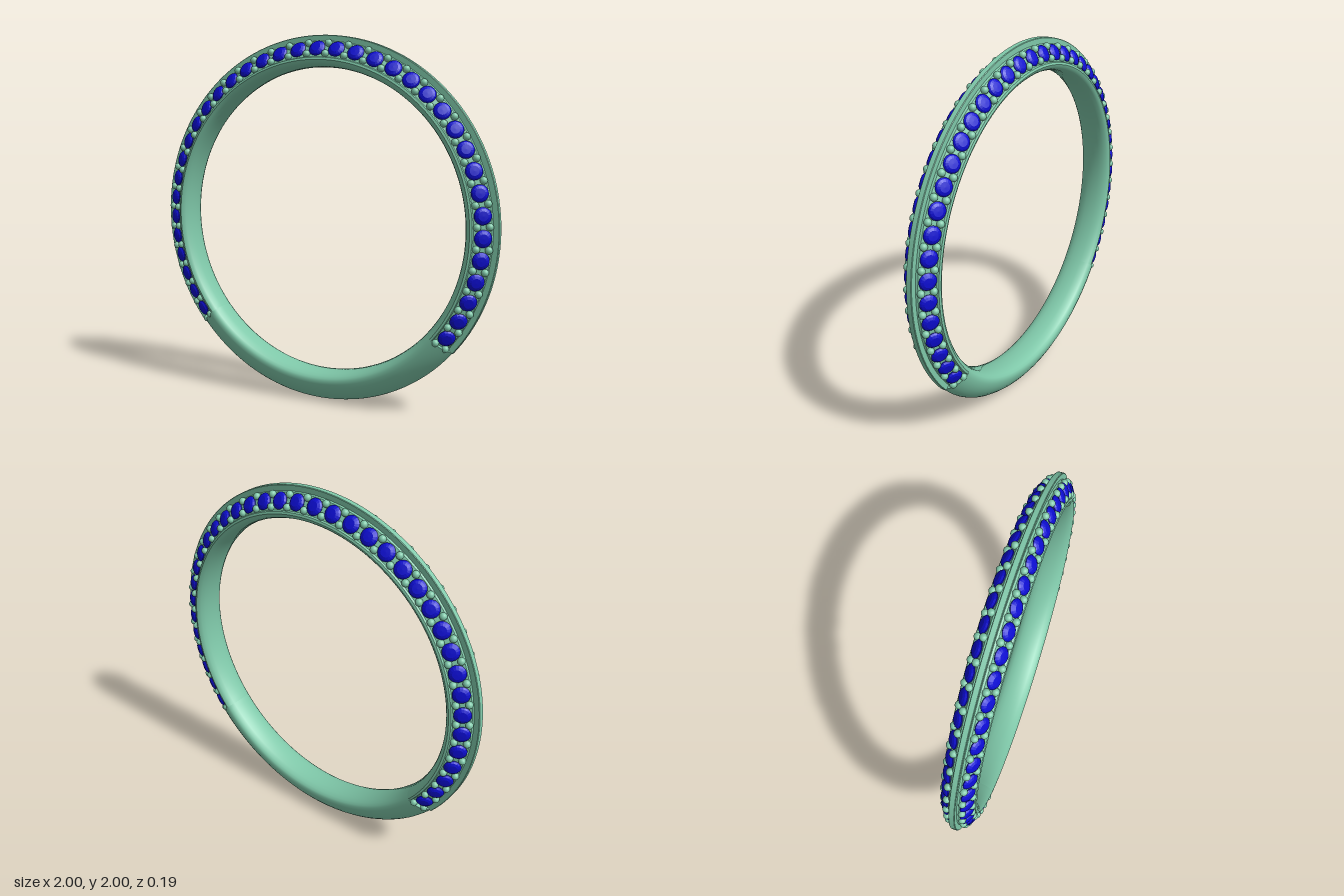
import * as THREE from 'three';
import { toCreasedNormals } from 'three/addons/utils/BufferGeometryUtils.js';

const metal = new THREE.MeshStandardMaterial({ color: 0x7fc8a9, side: THREE.DoubleSide });
const gem = new THREE.MeshStandardMaterial({ color: 0x0c0cd0, flatShading: true });

const STEP = THREE.MathUtils.degToRad(7.02); // angle between neighbouring stones
const SIDE_STONES = 18;                      // stones on each side of the top one
const PAVE_END = THREE.MathUtils.degToRad(50); // plain shank reaches this far from the bottom

// Half sections as [radius, half width], from the bore to the outer edge
const bore = [[0.83, 0], [0.832, 0.03], [0.837, 0.055], [0.847, 0.076], [0.858, 0.087], [0.87, 0.092]];
const plainHalf = [...bore, [0.89, 0.09], [0.915, 0.082], [0.94, 0.068], [0.962, 0.051], [0.98, 0.031], [0.992, 0.013], [0.996, 0]];
const paveHalf = [...bore, [0.882, 0.088], [0.885, 0.077], [0.965, 0.027], [0.968, 0.016], [0.997, 0.016], [1, 0.013], [1, 0]];

// Closed section, mirrored across the ring's middle plane
function section(half) {
  const low = half.map(([r, a]) => new THREE.Vector2(r, -a));
  const high = half.slice(0, -1).reverse().map(([r, a]) => new THREE.Vector2(r, a));
  return [...low, ...high];
}

// Swept arc of the band; angles run from the bottom of the ring
function arc(name, half, start, length, segments) {
  const geometry = toCreasedNormals(new THREE.LatheGeometry(section(half), segments, start, length), 0.6);
  const mesh = new THREE.Mesh(geometry, metal);
  mesh.name = name;
  return mesh;
}

export function createModel() {
  const ring = new THREE.Group();
  ring.name = 'ring';

  // Band: plain shank below, stone channel with central ridge above
  const band = new THREE.Group();
  band.name = 'band';
  band.rotation.x = Math.PI / 2;
  band.position.y = 1;
  band.add(arc('plainShank', plainHalf, -PAVE_END, 2 * PAVE_END, 48));
  band.add(arc('stoneChannel', paveHalf, PAVE_END, 2 * (Math.PI - PAVE_END), 130));
  for (const [half, label] of [[plainHalf, 'shank'], [paveHalf, 'channel']]) {
    for (const s of [-1, 1]) {
      const cap = new THREE.Mesh(new THREE.ShapeGeometry(new THREE.Shape(section(half))), metal);
      cap.name = label + 'EndFace';
      cap.rotation.y = s * PAVE_END - Math.PI / 2;
      band.add(cap);
    }
  }
  ring.add(band);

  // Round-cut stone: pavilion, girdle, domed crown and table
  const stoneProfile = [[0, -0.022], [0.043, -0.003], [0.046, 0.003], [0.038, 0.012], [0.025, 0.018], [0, 0.019]]
    .map(([r, y]) => new THREE.Vector2(r, y));
  const stoneGeometry = new THREE.LatheGeometry(stoneProfile, 16);
  const beadGeometry = new THREE.SphereGeometry(0.02, 14, 10);
  const up = new THREE.Vector3(0, 1, 0);

  // Places a mesh at a radius and depth, at an angle from the top
  function place(group, name, geometry, material, angle, radius, z) {
    const mesh = new THREE.Mesh(geometry, material);
    mesh.name = name;
    mesh.position.set(radius * Math.sin(angle), 1 + radius * Math.cos(angle), z);
    const normal = new THREE.Vector3(0.53 * Math.sin(angle), 0.53 * Math.cos(angle), 0.85 * Math.sign(z));
    mesh.quaternion.setFromUnitVectors(up, normal.normalize());
    group.add(mesh);
  }

  // Two sloping rows of stones with bead pairs in every gap
  for (const s of [1, -1]) {
    const stones = new THREE.Group();
    stones.name = s > 0 ? 'frontStones' : 'backStones';
    const beads = new THREE.Group();
    beads.name = s > 0 ? 'frontBeads' : 'backBeads';
    for (let i = -SIDE_STONES; i <= SIDE_STONES; i++) {
      place(stones, 'stone', stoneGeometry, gem, i * STEP, 0.928, s * 0.056);
    }
    for (let i = -SIDE_STONES - 1; i <= SIDE_STONES; i++) {
      const angle = (i + 0.5) * STEP;
      place(beads, 'outerBead', beadGeometry, metal, angle, 0.958, s * 0.04);
      place(beads, 'innerBead', beadGeometry, metal, angle, 0.902, s * 0.074);
    }
    ring.add(stones, beads);
  }
  return ring;
}
